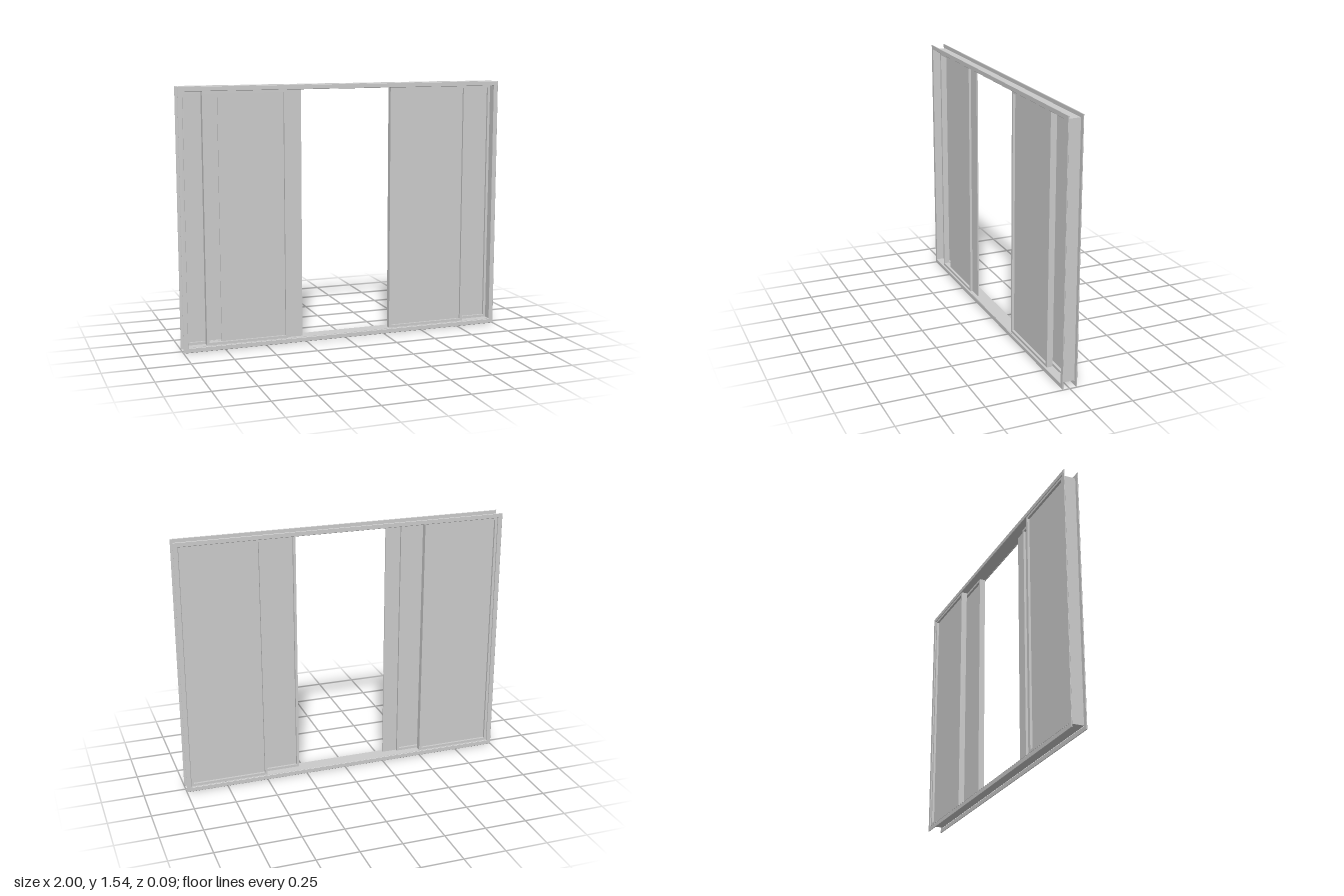
import * as THREE from 'three';

export function createModel() {
  const model = new THREE.Group();
  const material = new THREE.MeshStandardMaterial({ color: 0xcccccc });
  const thin = new THREE.MeshStandardMaterial({ color: 0xcccccc, side: THREE.DoubleSide });

  const BOTTOM = 0.03, TOP = 1.516, JAMB = 0.972, HALF_DEPTH = 0.042;

  function add(parent, name, geometry, mat, x, y, z) {
    const mesh = new THREE.Mesh(geometry, mat);
    mesh.name = name;
    mesh.position.set(x, y, z);
    parent.add(mesh);
    return mesh;
  }

  // Rectangular ring, centred in depth on z = 0
  function ring(x0, x1, y0, y1, border, depth, bevel = 0) {
    const rect = (s, d) => {
      s.moveTo(x0 + d, y0 + d);
      s.lineTo(x1 - d, y0 + d);
      s.lineTo(x1 - d, y1 - d);
      s.lineTo(x0 + d, y1 - d);
      s.closePath();
      return s;
    };
    const shape = rect(new THREE.Shape(), bevel);
    shape.holes.push(rect(new THREE.Path(), border - bevel));
    const geometry = new THREE.ExtrudeGeometry(shape, {
      depth: depth - 2 * bevel,
      bevelEnabled: bevel > 0, bevelSize: bevel, bevelThickness: bevel, bevelSegments: 1,
    });
    return geometry.translate(0, 0, bevel - depth / 2);
  }

  // Flat trim around the opening, front and back
  for (const [name, side] of [['frontTrim', 1], ['backTrim', -1]]) {
    add(model, name, ring(-1, 1, 0, 1.54, 0.028, 0.005, 0.002), material, 0, 0, side * HALF_DEPTH);
  }

  // Thin lining: sill, head and two jambs
  const lining = new THREE.Group();
  lining.name = 'lining';
  model.add(lining);
  for (const [name, y] of [['sill', BOTTOM], ['head', TOP]]) {
    const plane = new THREE.PlaneGeometry(2 * JAMB, 2 * HALF_DEPTH).rotateX(-Math.PI / 2);
    add(lining, name, plane, thin, 0, y, 0);
  }
  for (const [name, side] of [['leftJamb', 1], ['rightJamb', -1]]) {
    const plane = new THREE.PlaneGeometry(2 * HALF_DEPTH, TOP - BOTTOM).rotateY(Math.PI / 2);
    add(lining, name, plane, thin, side * JAMB, (TOP + BOTTOM) / 2, 0);
  }

  // Sliding panel: slim frame with a pane, which may be slid sideways in it
  function panel(name, x0, x1, z, slide = 0) {
    const group = new THREE.Group();
    group.name = name;
    group.position.z = z;
    const y0 = BOTTOM + 0.002, y1 = TOP - 0.002;
    add(group, 'panelFrame', ring(x0, x1, y0, y1, 0.015, 0.036), material, 0, 0, 0);
    const inset = slide ? 0 : 0.004;
    const pane = new THREE.BoxGeometry(x1 - x0 - 2 * inset, y1 - y0 - 2 * inset, 0.008);
    add(group, 'pane', pane, material, (x0 + x1) / 2 + slide, (y0 + y1) / 2, 0);
    model.add(group);
  }
  panel('backRightPanel', -0.97, -0.5, -0.021);
  panel('backLeftPanel', 0.5, 0.97, -0.021);
  panel('frontRightPanel', -0.86, -0.363, 0.019, 0.092);
  panel('frontLeftPanel', 0.287, 0.785, 0.019);

  return model;
}
